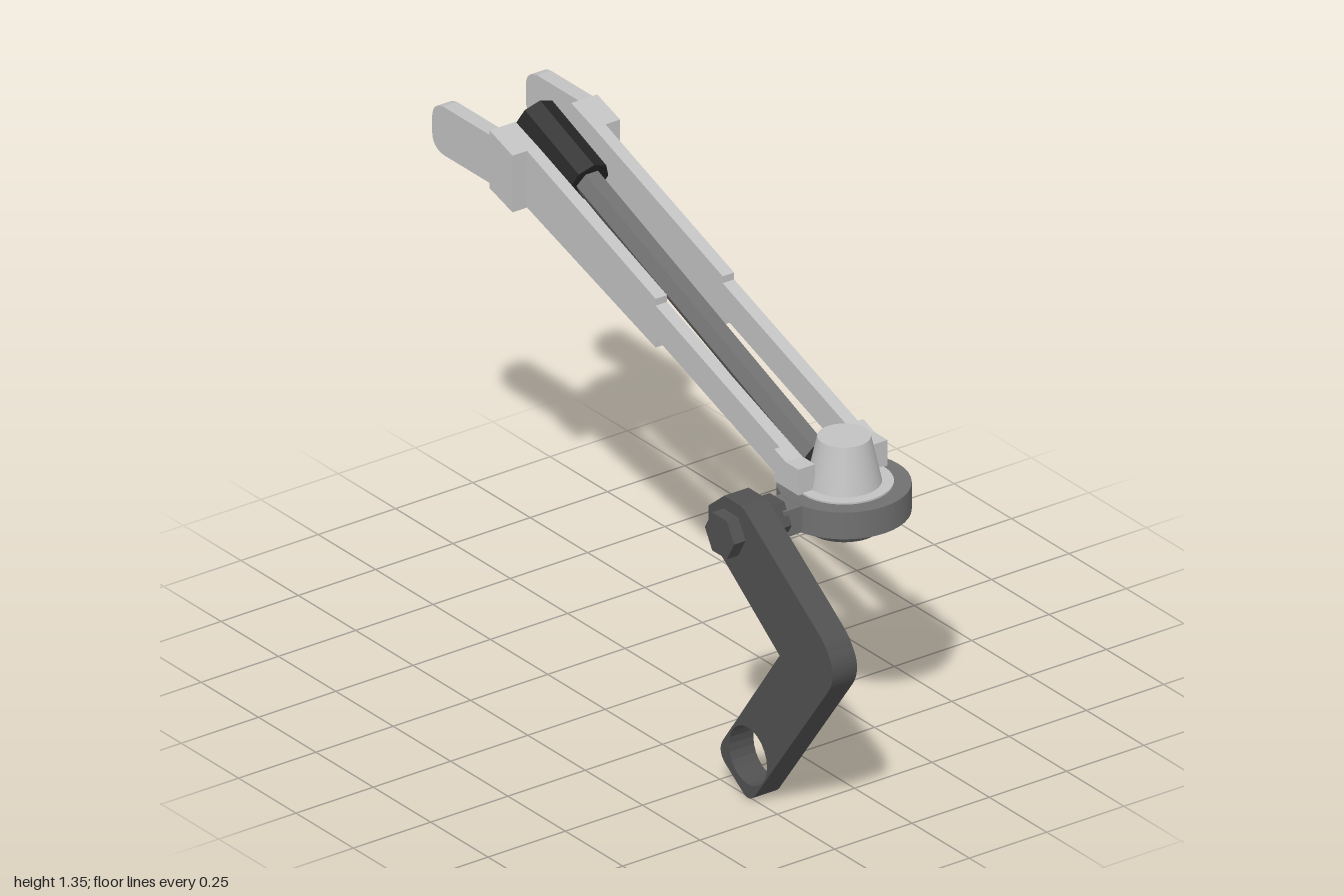
import * as THREE from 'three';

const mat = (name, color) => {
  const m = new THREE.MeshStandardMaterial({ color });
  m.name = name;
  return m;
};

export function createModel() {
  const root = new THREE.Group();
  root.name = 'forkLever';
  const silver = mat('silver', 0xc2c2c2);
  const steel = mat('steel', 0x707070);
  const dark = mat('darkGrey', 0x505050);
  const black = mat('black', 0x262626);
  const orange = mat('orange', 0xe08c10);

  const HX = 0.56, HZ = -0.107; // hub axis

  const add = (name, geo, m, parent = root) => {
    const mesh = new THREE.Mesh(geo, m);
    mesh.name = name;
    parent.add(mesh);
    return mesh;
  };
  // side profile in x/y, extruded from z0 to z1
  const plate = (name, shape, z0, z1, m) => {
    const s = Array.isArray(shape) ? new THREE.Shape(shape.map(p => new THREE.Vector2(...p))) : shape;
    const g = new THREE.ExtrudeGeometry(s, { depth: z1 - z0, bevelEnabled: false, curveSegments: 12 });
    return add(name, g.translate(0, 0, z0), m);
  };
  // upright hub layer
  const layer = (name, rTop, rBottom, y0, y1, m) =>
    add(name, new THREE.CylinderGeometry(rTop, rBottom, y1 - y0, 40).translate(HX, (y0 + y1) / 2, HZ), m);

  // hub stack
  layer('hubRing', 0.176, 0.176, 0.707, 0.785, steel);
  layer('hubDisc', 0.13, 0.13, 0.78, 0.79, silver);
  layer('hubCone', 0.07, 0.1, 0.785, 0.92, silver);
  layer('orangeSeal', 0.142, 0.142, 0.693, 0.708, orange);
  layer('hubBase', 0.14, 0.1, 0.66, 0.694, steel);

  // fork arms, mirrored about the hub
  const blade = [[-0.65, 1.13], [-0.09, 0.95], [-0.09, 0.98], [0.45, 0.79], [0.555, 0.787],
    [0.555, 0.862], [0.5, 0.862], [-0.09, 1.072], [-0.09, 1.092], [-0.65, 1.295]];
  const shoulder = [[-0.75, 1.16], [-0.65, 1.13], [-0.65, 1.295], [-0.75, 1.328]];
  const foot = [[0.45, 0.787], [0.555, 0.787], [0.555, 0.862], [0.5, 0.862], [0.45, 0.88]];
  const tip = new THREE.Shape();
  tip.moveTo(-0.745, 1.175);
  tip.lineTo(-0.95, 1.175);
  tip.quadraticCurveTo(-1, 1.18, -1, 1.225);
  tip.lineTo(-1, 1.265);
  tip.quadraticCurveTo(-1, 1.31, -0.95, 1.315);
  tip.lineTo(-0.745, 1.315);
  for (const [side, s] of [['left', 1], ['right', -1]]) {
    const part = (name, shape, a, b) =>
      plate(side + name, shape, Math.min(HZ + s * a, HZ + s * b), Math.max(HZ + s * a, HZ + s * b), silver);
    part('Blade', blade, 0.09, 0.127);
    part('Shoulder', shoulder, 0.09, 0.174);
    part('Tip', tip, 0.129, 0.174);
    part('Foot', foot, 0.105, 0.144);
  }

  // sloping rod and its grip
  const bar = (name, x0, x1, r, sides, turn, m) => {
    const at = x => new THREE.Vector3(x, 1.205 - 0.395 * (x + 0.55), HZ);
    const a = at(x0), b = at(x1), dir = b.clone().sub(a);
    const g = new THREE.CylinderGeometry(r, r, dir.length(), sides).rotateY(turn).toNonIndexed();
    g.computeVertexNormals();
    const mesh = add(name, g, m);
    mesh.quaternion.setFromUnitVectors(new THREE.Vector3(0, 1, 0), dir.normalize());
    mesh.position.copy(a).add(b).multiplyScalar(0.5);
  };
  bar('rod', -0.56, 0.45, 0.04, 6, 0, steel);
  bar('rodEnd', 0.44, 0.465, 0.044, 6, 0, black);
  bar('grip', -0.787, -0.552, 0.063, 8, 0, black);

  // stub and hexagonal bolt on the hub side
  add('stub', new THREE.BoxGeometry(0.09, 0.076, 0.12).translate(HX, 0.746, 0.06), steel);
  const hex = new THREE.CylinderGeometry(0.064, 0.064, 0.186, 6).rotateY(Math.PI / 2).rotateX(Math.PI / 2).toNonIndexed();
  hex.computeVertexNormals();
  add('bolt', hex.translate(0.555, 0.747, 0.199), dark);

  // bent crank with an eye at its lower end
  const crank = new THREE.Shape();
  crank.moveTo(0.495, 0.675);
  crank.lineTo(0.767, 0.473);
  crank.lineTo(0.521, 0.128);
  crank.quadraticCurveTo(0.495, 0.09, 0.53, 0.063);
  crank.lineTo(0.6, 0.015);
  crank.quadraticCurveTo(0.635, -0.013, 0.662, 0.024);
  crank.lineTo(0.976, 0.45);
  crank.quadraticCurveTo(1.02, 0.51, 0.976, 0.565);
  crank.quadraticCurveTo(0.965, 0.585, 0.94, 0.603);
  crank.lineTo(0.617, 0.832);
  crank.lineTo(0.597, 0.84);
  crank.lineTo(0.525, 0.84);
  crank.lineTo(0.458, 0.785);
  crank.lineTo(0.458, 0.73);
  const eye = new THREE.Path();
  eye.absarc(0.629, 0.125, 0.083, 0, Math.PI * 2, true);
  crank.holes.push(eye);
  plate('crank', crank, 0.176, 0.255, dark);

  return root;
}
